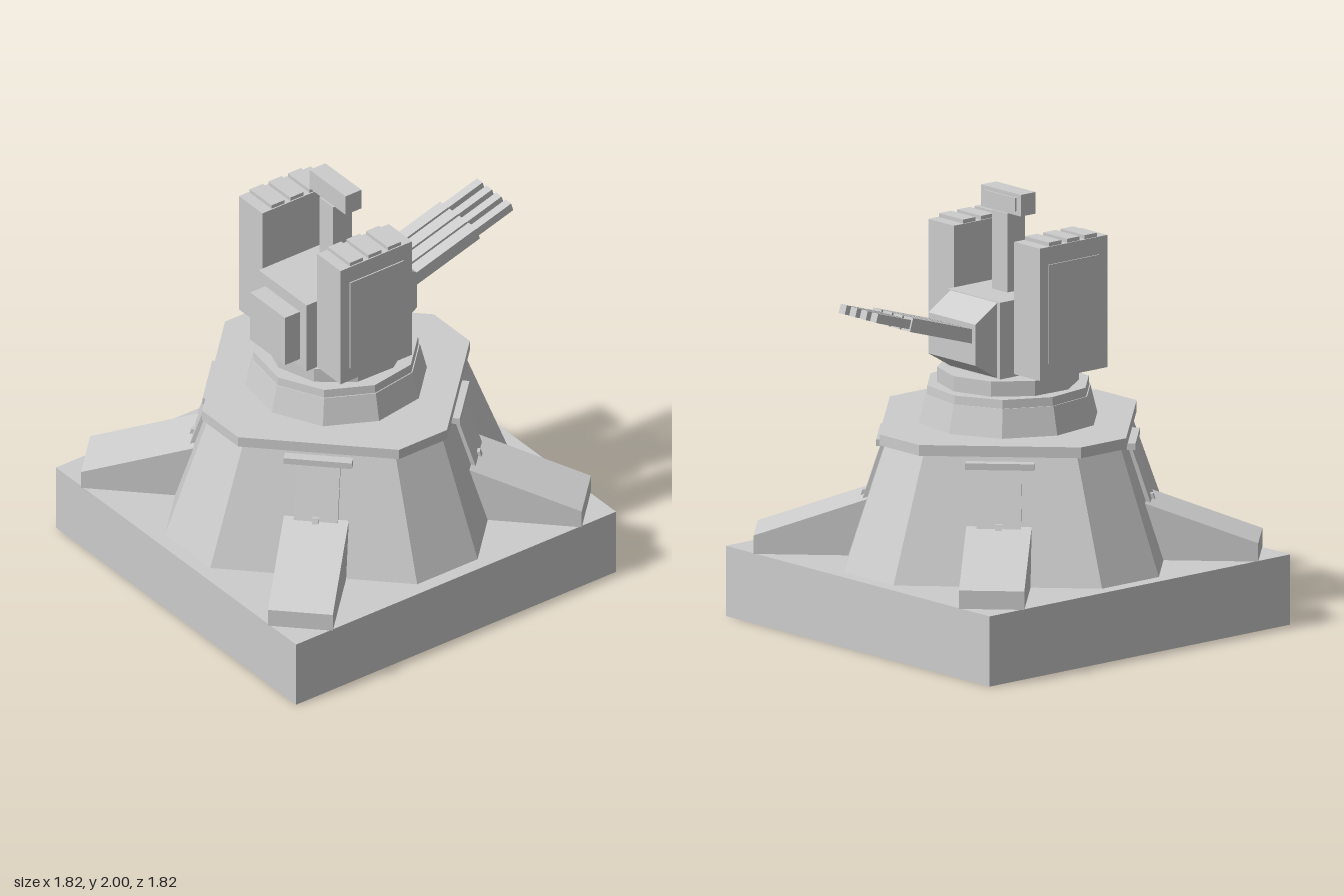
import * as THREE from 'three';

export function createModel() {
  const model = new THREE.Group();
  const grey = new THREE.MeshStandardMaterial({ color: 0xcccccc });
  grey.name = 'plain grey';
  grey.flatShading = true;

  const add = (parent, name, geometry) => {
    const mesh = new THREE.Mesh(geometry, grey);
    mesh.name = name;
    parent.add(mesh);
    return mesh;
  };

  // Box given by its extents on each axis
  const box = (parent, name, [x0, x1], [y0, y1], [z0, z1]) => {
    const mesh = add(parent, name, new THREE.BoxGeometry(x1 - x0, y1 - y0, z1 - z0));
    mesh.position.set((x0 + x1) / 2, (y0 + y1) / 2, (z0 + z1) / 2);
    return mesh;
  };

  // Side profile in x and y, extruded evenly about z = 0
  const slab = (points, width) => {
    const shape = new THREE.Shape(points.map(([x, y]) => new THREE.Vector2(x, y)));
    return new THREE.ExtrudeGeometry(shape, { depth: width, bevelEnabled: false }).translate(0, 0, -width / 2);
  };

  // Chamfered square: half width a, half length of the straight side b
  const octagon = (a, b) => [[a, -b], [a, b], [b, a], [-b, a], [-a, b], [-a, -b], [-b, -a], [b, -a]];

  // Closed solid between two octagons at different heights
  const loft = (lower, y0, upper, y1) => {
    const n = lower.length;
    const positions = [];
    const index = [];
    lower.forEach(([x, z]) => positions.push(x, y0, z));
    upper.forEach(([x, z]) => positions.push(x, y1, z));
    for (let i = 0; i < n; i++) {
      const j = (i + 1) % n;
      index.push(i, n + i, j, j, n + i, n + j);
      if (i > 0 && i < n - 1) index.push(0, i, i + 1, n, n + i + 1, n + i);
    }
    const g = new THREE.BufferGeometry();
    g.setAttribute('position', new THREE.Float32BufferAttribute(positions, 3));
    g.setIndex(index);
    const flat = g.toNonIndexed();
    flat.computeVertexNormals();
    return flat;
  };

  // Foundation and tapered tower
  box(model, 'foundation', [-0.9, 0.9], [0, 0.325], [-0.9, 0.9]);
  add(model, 'tower', loft(octagon(0.835, 0.17), 0.325, octagon(0.62, 0.13), 0.89));
  add(model, 'deck', loft(octagon(0.652, 0.135), 0.89, octagon(0.652, 0.135), 0.94));

  // Corner buttresses, each with a raised panel and a ledge above
  for (let i = 0; i < 4; i++) {
    const corner = new THREE.Group();
    corner.name = 'corner' + (i + 1);
    corner.rotation.y = Math.PI / 4 + i * Math.PI / 2;
    model.add(corner);
    add(corner, 'buttress', slab([[0.6, 0.325], [1.138, 0.325], [1.138, 0.41], [0.63, 0.585], [0.6, 0.585]], 0.295));
    add(corner, 'panel', slab([[0.58, 0.56], [0.655, 0.56], [0.56, 0.85], [0.5, 0.85]], 0.2));
    add(corner, 'panelRib', slab([[0.6, 0.57], [0.665, 0.57], [0.655, 0.6], [0.6, 0.6]], 0.03));
    box(corner, 'ledge', [0.5, 0.585], [0.835, 0.865], [-0.155, 0.155]);
  }

  // Ten-sided turntable rings
  const ring = (name, top, bottom, y0, y1, degrees) => {
    const g = new THREE.CylinderGeometry(top, bottom, y1 - y0, 10, 1, false, THREE.MathUtils.degToRad(degrees));
    add(model, name, g).position.y = (y0 + y1) / 2;
  };
  ring('collar', 0.383, 0.415, 0.94, 1.07, -9);
  ring('collarRim', 0.375, 0.378, 1.07, 1.11, -9);
  ring('turntable', 0.32, 0.32, 1.11, 1.18, 17);

  const turret = new THREE.Group();
  turret.name = 'turret';
  model.add(turret);

  // Gun housing with wedge nose and rear box
  box(turret, 'housing', [-0.3, 0.205], [1.18, 1.535], [-0.18, 0.18]);
  add(turret, 'nose', slab([[0.2, 1.18], [0.335, 1.26], [0.335, 1.45], [0.2, 1.535]], 0.32));
  box(turret, 'rearBox', [-0.385, -0.3], [1.22, 1.475], [-0.13, 0.13]);

  // Four stepped gun barrels, raised about 17 degrees
  for (let i = 0; i < 4; i++) {
    const barrel = new THREE.Group();
    barrel.name = 'barrel' + (i + 1);
    barrel.position.set(0.32, 1.388, -0.107 + i * 0.0713);
    barrel.rotation.z = 0.296;
    turret.add(barrel);
    box(barrel, 'barrelSleeve', [-0.02, 0.395], [-0.032, 0.032], [-0.03, 0.03]);
    box(barrel, 'muzzle', [0.395, 0.602], [-0.021, 0.021], [-0.021, 0.021]);
  }

  // Launcher pods on both sides with three lids each
  for (const side of [1, -1]) {
    const pod = new THREE.Group();
    pod.name = side > 0 ? 'frontPod' : 'backPod';
    pod.position.z = side * 0.293;
    turret.add(pod);
    box(pod, 'podBody', [-0.26, 0.143], [1.2, 1.812], [-0.088, 0.088]);
    for (const x of [-0.167, -0.062, 0.047]) {
      box(pod, 'podLid', [x - 0.037, x + 0.037], [1.81, 1.83], [-0.082, 0.082]);
    }
    const z = side * 0.09;
    box(pod, 'podSidePlate', [-0.21, 0.093], [1.27, 1.73], [z - 0.004, z + 0.004]);
  }

  // Sensor mast and head
  box(turret, 'mast', [-0.055, 0.05], [1.53, 1.9], [-0.052, 0.052]);
  box(turret, 'sensorHead', [-0.047, 0.042], [1.9, 2], [-0.135, 0.135]);
  box(turret, 'sensorWindow', [0.042, 0.05], [1.92, 1.982], [-0.105, 0.105]);

  return model;
}
